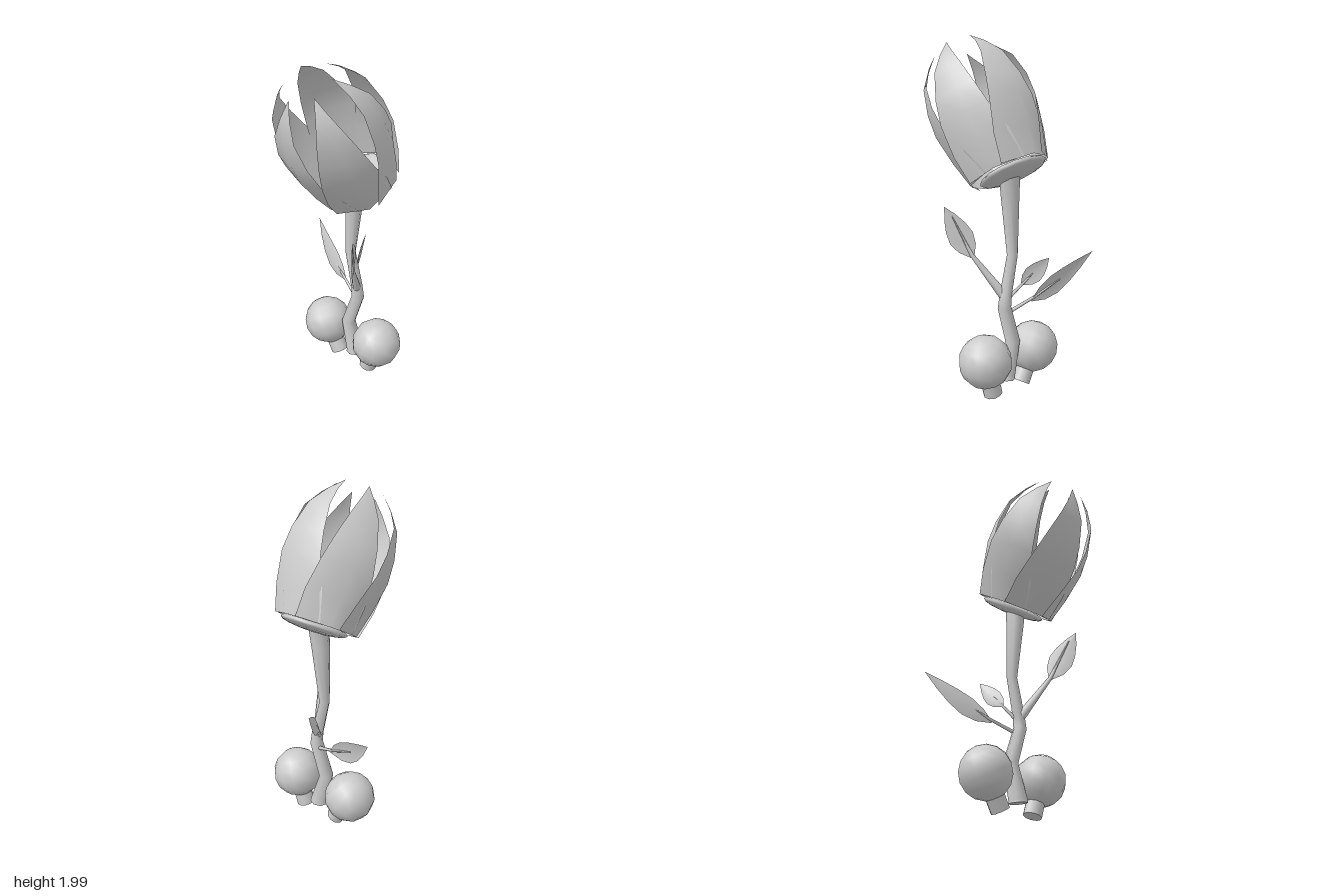
import * as THREE from 'three';
import { toCreasedNormals } from 'three/addons/utils/BufferGeometryUtils.js';

const V = (x, y, z) => new THREE.Vector3(x, y, z);
const solid = new THREE.MeshStandardMaterial({ color: 0xcccccc });
const thin = new THREE.MeshStandardMaterial({ color: 0xcccccc, side: THREE.DoubleSide });

function add(parent, name, geometry, material = solid) {
  const mesh = new THREE.Mesh(geometry, material);
  mesh.name = name;
  parent.add(mesh);
  return mesh;
}

// Grid surface: point(i, j) gives the position at column i of row j
function surface(cols, rows, point) {
  const pos = [], index = [];
  for (let j = 0; j <= rows; j++) {
    for (let i = 0; i <= cols; i++) {
      pos.push(...point(i, j).toArray());
      if (i < cols && j < rows) {
        const a = j * (cols + 1) + i, b = a + cols + 1;
        index.push(a, a + 1, b, a + 1, b + 1, b);
      }
    }
  }
  const geo = new THREE.BufferGeometry();
  geo.setAttribute('position', new THREE.Float32BufferAttribute(pos, 3));
  geo.setIndex(index);
  geo.computeVertexNormals();
  return geo;
}

// Tapered, capped limb through [x, y, z, radius] stations
function limb(stations, sides) {
  const first = stations[0], last = stations[stations.length - 1];
  const rings = [[...first.slice(0, 3), 0], ...stations, [...last.slice(0, 3), 0]];
  const centre = (k) => V(...stations[Math.min(Math.max(k, 0), stations.length - 1)].slice(0, 3));
  const geo = surface(sides, rings.length - 1, (i, j) => {
    const k = Math.min(Math.max(j - 1, 0), stations.length - 1);
    const tangent = centre(k + 1).sub(centre(k - 1)).normalize();
    const u = V(0, 0, 1).addScaledVector(tangent, -tangent.z).normalize();
    const v = tangent.clone().cross(u);
    const t = (i % sides) / sides * Math.PI * 2;
    return centre(k).addScaledVector(u, rings[j][3] * Math.cos(t))
      .addScaledVector(v, rings[j][3] * Math.sin(t));
  });
  return toCreasedNormals(geo, 1.1);
}

// Pointed leaf from base to tip, with half-width vector and a bow at the middle
function leaf(base, tip, half, bow) {
  const widths = [0.08, 0.75, 1, 0.85, 0.5, 0];
  const dir = tip.clone().sub(base).normalize();
  const normal = dir.cross(half).normalize();
  return surface(2, 5, (i, j) => {
    const t = j / 5, w = widths[j];
    return base.clone().lerp(tip, t)
      .addScaledVector(bow, 4 * t * (1 - t))
      .addScaledVector(half, (i - 1) * w)
      .addScaledVector(normal, Math.abs(i - 1) * w * 0.012);
  });
}

// Petal stations up the bud axis: [height, radius, outer-edge and inner-edge angle in degrees]
const petalRows = [
  [0, 0.228, 48, 46], [0.15, 0.27, 42, 37], [0.32, 0.302, 33, 25],
  [0.45, 0.298, 27, 20], [0.6, 0.266, 19, 14], [0.7, 0.2, 11, 8], [0.775, 0.132, 0, 0],
];
function petal(angle) {
  return surface(2, petalRows.length - 1, (i, j) => {
    const [y, r, outer, inner] = petalRows[j];
    const s = i - 1;
    const a = angle + THREE.MathUtils.degToRad(s * (s < 0 ? outer : inner));
    const radius = r - s * 0.01 * outer / 48; // one edge tucks under its neighbour
    return V(Math.sin(a) * radius, y, Math.cos(a) * radius);
  });
}

export function createModel() {
  const model = new THREE.Group();
  model.name = 'flower';

  // Crooked stem with a level foot
  add(model, 'stem', limb([
    [0.096, 0.09, -0.15, 0.055], [0.094, 0.11, -0.15, 0.052], [0.039, 0.3, -0.15, 0.042],
    [0.108, 0.51, -0.15, 0.038], [0.098, 0.58, -0.15, 0.034], [0.044, 0.8, -0.15, 0.03],
    [0.065, 1.15, -0.15, 0.052], [0.073, 1.27, -0.155, 0.058],
  ], 8));

  // Leaves on their twigs
  const leaves = [
    {
      name: 'longLeaf',
      twig: [[0.09, 0.48, -0.16, 0.011], [-0.07, 0.55, -0.22, 0.008], [-0.23, 0.63, -0.275, 0.003]],
      blade: [V(-0.045, 0.53, -0.215), V(-0.41, 0.78, -0.37), V(0.037, 0.055, 0), V(0, -0.025, 0.025)],
    },
    {
      name: 'frontLeaf',
      twig: [[0.105, 0.58, -0.14, 0.028], [0.2, 0.8, 0.01, 0.012], [0.265, 1.02, 0.1, 0.003]],
      blade: [V(0.195, 0.785, 0.005), V(0.29, 1.07, 0.135), V(0.037, -0.037, 0.052), V(0, 0, 0)],
    },
    {
      name: 'smallLeaf',
      twig: [[0.075, 0.57, -0.16, 0.012], [0.03, 0.66, -0.23, 0.007], [0.01, 0.71, -0.27, 0.003]],
      blade: [V(0.035, 0.64, -0.21), V(-0.015, 0.81, -0.365), V(0.022, 0.035, 0.03), V(-0.01, 0, 0)],
    },
  ];
  for (const { name, twig, blade } of leaves) {
    const group = new THREE.Group();
    group.name = name;
    add(group, 'twig', limb(twig, 6));
    add(group, 'blade', leaf(...blade), thin);
    model.add(group);
  }

  // Round bulbs, each with a short stub pointing down and inward
  const bulbs = [
    ['rightBulb', V(-0.135, 0.22, -0.15), V(-0.03, 0.033, -0.15)],
    ['leftBulb', V(0.262, 0.238, -0.15), V(0.202, 0.034, -0.15)],
  ];
  for (const [name, centre, end] of bulbs) {
    const group = new THREE.Group();
    group.name = name;
    group.position.copy(centre);
    const dir = end.clone().sub(centre);
    const length = dir.length();
    group.quaternion.setFromUnitVectors(V(0, -1, 0), dir.normalize());
    add(group, 'ball', new THREE.SphereGeometry(0.149, 12, 8));
    add(group, 'stub', new THREE.CylinderGeometry(0.054, 0.054, 0.12, 10))
      .position.y = -length + 0.06;
    model.add(group);
  }

  // Bud leaning forward: base disc and six overlapping petals
  const bud = new THREE.Group();
  bud.name = 'bud';
  bud.position.set(0.08, 1.27, -0.16);
  bud.rotation.x = 0.541;
  const base = add(bud, 'budBase', new THREE.SphereGeometry(0.193, 14, 8));
  base.scale.y = 0.17;
  base.position.set(0, -0.012, -0.022);
  for (let k = 0; k < 6; k++) {
    add(bud, 'petal', petal(k * Math.PI / 3 - 0.12), thin);
  }
  model.add(bud);

  return model;
}
